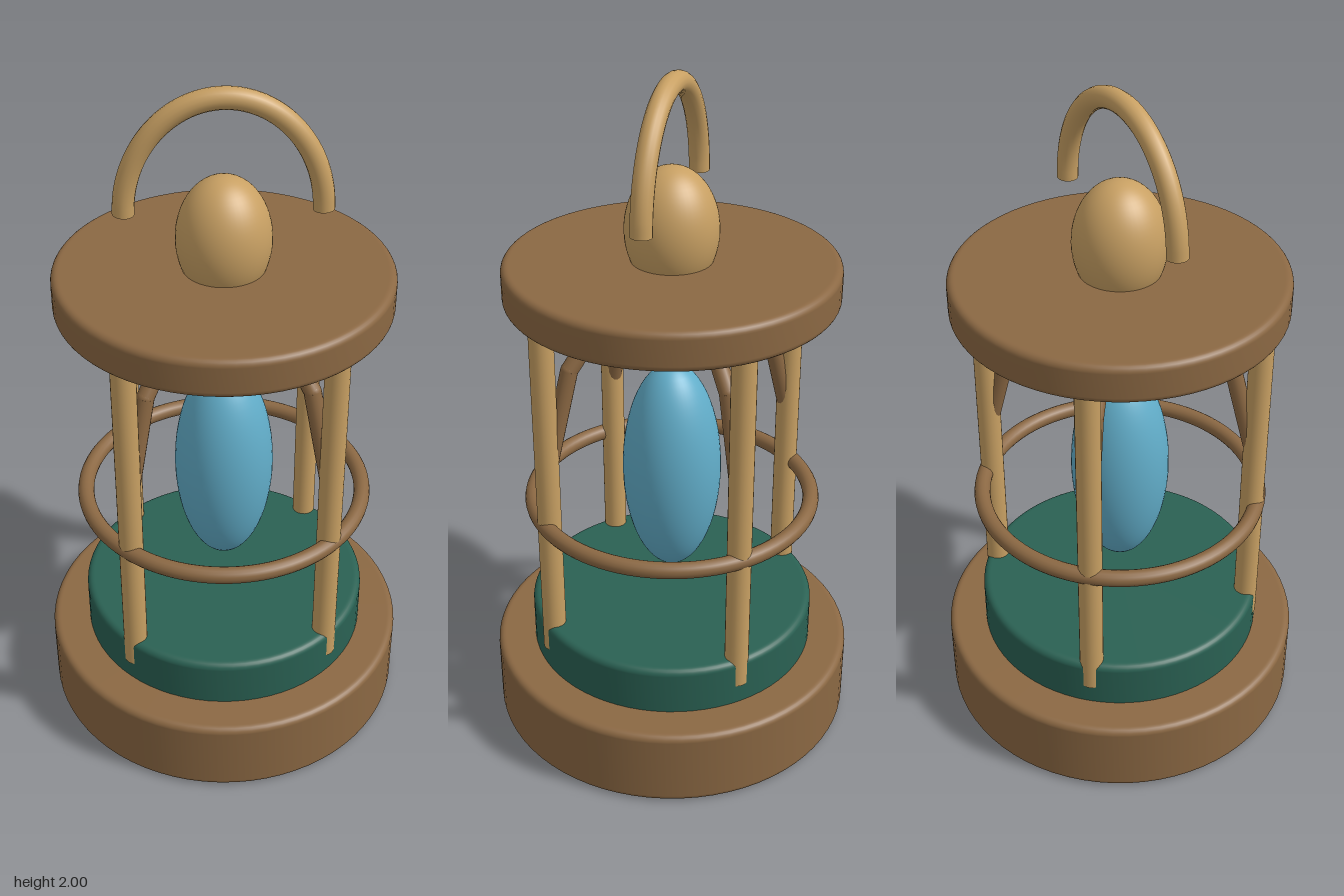
import * as THREE from 'three';

const mat = (name, color) => {
  const m = new THREE.MeshStandardMaterial({ color });
  m.name = name;
  return m;
};

// Solid disc with softly rounded rims, from y0 to y1
function roundedDisc(radius, y0, y1, bevel) {
  const pts = [new THREE.Vector2(0, y0), new THREE.Vector2(radius - bevel - 0.004, y0)];
  const steps = 6;
  for (const [cy, start] of [[y0 + bevel, -Math.PI / 2], [y1 - bevel, 0]]) {
    for (let i = 0; i <= steps; i++) {
      const a = start + (i / steps) * Math.PI / 2;
      pts.push(new THREE.Vector2(radius - bevel + Math.cos(a) * bevel, cy + Math.sin(a) * bevel));
    }
  }
  pts.push(new THREE.Vector2(radius - bevel - 0.004, y1), new THREE.Vector2(0, y1));
  return new THREE.LatheGeometry(pts, 72);
}

function ellipsoid(rx, ry) {
  return new THREE.SphereGeometry(1, 48, 32).scale(rx, ry, rx);
}

export function createModel() {
  const brown = mat('brown wood', 0x8b6843);
  const tan = mat('pale brass', 0xc8a063);
  const green = mat('deep green', 0x2a6153);
  const blue = mat('blue glass', 0x62aeca);

  const root = new THREE.Group();
  root.name = 'lantern';
  const add = (name, geometry, material, parent = root) => {
    const mesh = new THREE.Mesh(geometry, material);
    mesh.name = name;
    parent.add(mesh);
    return mesh;
  };

  // Stacked discs
  add('base', roundedDisc(0.545, 0, 0.24, 0.02), brown);
  add('plinth', roundedDisc(0.43, 0.22, 0.387, 0.02), green);
  add('roof', roundedDisc(0.472, 1.37, 1.483, 0.02), brown);

  // Glowing core and top knob
  add('core', ellipsoid(0.146, 0.338), blue).position.y = 0.819;
  add('knob', ellipsoid(0.132, 0.18), tan).position.y = 1.57;

  // Guard ring around the posts
  add('guardRing', new THREE.TorusGeometry(0.415, 0.024, 16, 96).rotateX(Math.PI / 2), brown)
    .position.y = 0.731;

  // Four posts, each with a bent brace up to the roof
  const brace = [[0.4, 0.9], [0.32, 1.215], [0.18, 1.39]].map(([x, y]) => new THREE.Vector3(x, y, 0));
  const up = new THREE.Vector3(0, 1, 0);
  for (let i = 0; i < 4; i++) {
    const corner = new THREE.Group();
    corner.name = 'postAssembly' + (i + 1);
    corner.rotation.y = Math.PI / 4 + i * Math.PI / 2;
    root.add(corner);
    add('post', new THREE.CylinderGeometry(0.035, 0.035, 1.1, 24), tan, corner).position.set(0.4, 0.85, 0);
    for (let j = 0; j < 2; j++) {
      const dir = brace[j + 1].clone().sub(brace[j]);
      const bar = add('brace', new THREE.CylinderGeometry(0.025, 0.025, dir.length(), 16), brown, corner);
      bar.position.copy(brace[j]).addScaledVector(dir, 0.5);
      bar.quaternion.setFromUnitVectors(up, dir.normalize());
    }
    add('braceElbow', new THREE.SphereGeometry(0.025, 16, 12), brown, corner).position.copy(brace[1]);
  }

  // Arched carrying handle with closed ends
  const arch = [];
  for (let i = 0; i <= 24; i++) {
    const a = Math.PI * (1 - i / 24);
    arch.push(new THREE.Vector3(Math.cos(a) * 0.267, 1.65 + Math.sin(a) * 0.32, 0));
  }
  add('handle', new THREE.TubeGeometry(new THREE.CatmullRomCurve3(arch), 64, 0.03, 16), tan);
  for (const side of [-1, 1]) {
    add('handleEnd', new THREE.CircleGeometry(0.03, 16).rotateX(Math.PI / 2), tan)
      .position.set(side * 0.267, 1.65, 0);
  }

  return root;
}
